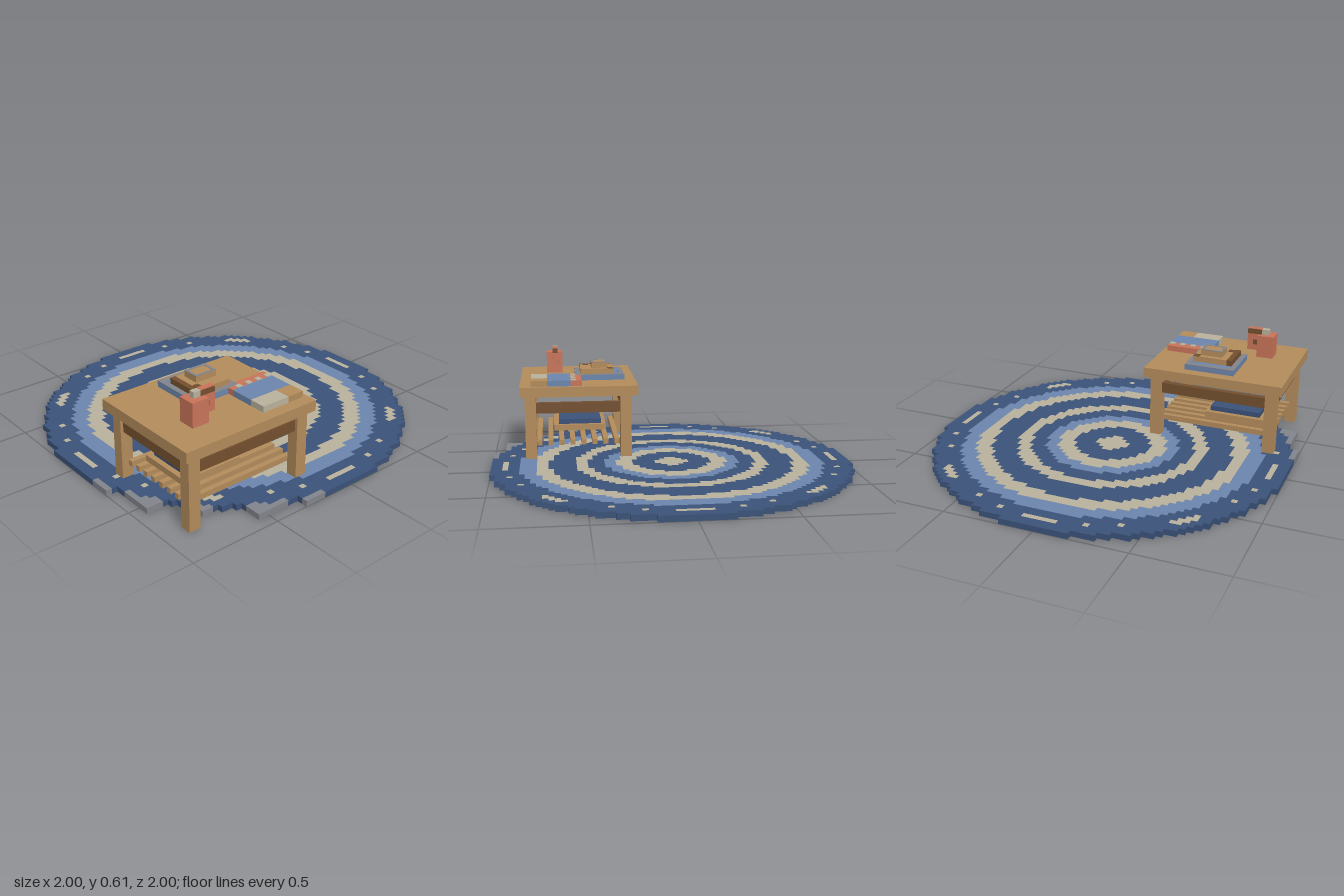
import * as THREE from 'three';
import { mergeGeometries } from 'three/addons/utils/BufferGeometryUtils.js';

const palette = {
  navy: 0x3b5279, lightBlue: 0x6c86ad, cream: 0xb9b29c, oak: 0xb48c5c,
  walnut: 0x74502f, coral: 0xc97459, grey: 0x83858c,
};

export function createModel() {
  const model = new THREE.Group();
  model.name = 'tableOnRoundRug';
  const mats = {};
  for (const [name, color] of Object.entries(palette)) {
    mats[name] = new THREE.MeshStandardMaterial({ color });
    mats[name].name = name;
  }

  // Box geometry from its minimum and maximum corners
  const boxGeo = (x0, x1, y0, y1, z0, z1) =>
    new THREE.BoxGeometry(x1 - x0, y1 - y0, z1 - z0)
      .translate((x0 + x1) / 2, (y0 + y1) / 2, (z0 + z1) / 2);
  const group = (name) => {
    const g = new THREE.Group();
    g.name = name;
    model.add(g);
    return g;
  };
  const box = (parent, name, mat, ...b) => {
    const m = new THREE.Mesh(boxGeo(...b), mats[mat]);
    m.name = name;
    parent.add(m);
    return m;
  };
  // Thin flat border around the upper edge of a slab
  const rim = (parent, name, mat, x0, x1, y, z0, z1, w) => {
    const t = y + 0.003;
    const g = mergeGeometries([
      boxGeo(x0, x1, y, t, z0, z0 + w), boxGeo(x0, x1, y, t, z1 - w, z1),
      boxGeo(x0, x0 + w, y, t, z0 + w, z1 - w), boxGeo(x1 - w, x1, y, t, z0 + w, z1 - w),
    ]);
    const m = new THREE.Mesh(g, mats[mat]);
    m.name = name;
    parent.add(m);
  };

  // Rug: a disc of square cells with coloured rings
  const U = 1 / 32, TOP = U;
  const rings = [
    [0.085, 'cream'], [0.215, 'navy'], [0.305, 'cream'], [0.375, 'lightBlue'],
    [0.46, 'navy'], [0.535, 'cream'], [0.68, 'navy'], [0.765, 'cream'],
    [0.85, 'lightBlue'], [1.0001, 'navy'],
  ];
  const dots = [[0.24, 0.89], [0.4, 0.83], [0.6, 0.7]];
  const cellColour = (x, z) => {
    const r = Math.hypot(x, z);
    const a = Math.max(Math.abs(x), Math.abs(z)), b = Math.min(Math.abs(x), Math.abs(z));
    if (r <= 1) {
      // Dashes on the axes and diagonals, dots between them
      if (b < 0.08 && Math.abs(a - 0.922) < 0.016) return 'cream';
      if (r > 0.91 && r < 0.955 && a - b < 0.12) return 'cream';
      if (dots.some(([p, q]) => Math.abs(b - p) < 0.016 && Math.abs(a - q) < 0.016)) return 'cream';
      return rings.find(([limit]) => r <= limit)[1];
    }
    // Stepped edge beneath the table
    if (x < 0 && z > 0) {
      const steps = [[1, 0.3125], [0.9375, 0.5625], [0.75, 0.75]];
      if (steps.some(([p, q]) => a < p && b < q)) return 'grey';
    }
    return null;
  };
  const rugParts = {};
  for (let j = -32; j < 32; j++) {
    let start = -32, colour = null;
    for (let i = -32; i <= 32; i++) {
      const c = i < 32 ? cellColour((i + 0.5) * U, (j + 0.5) * U) : null;
      if (c === colour) continue;
      if (colour) (rugParts[colour] ??= []).push(boxGeo(start * U, i * U, 0, TOP, j * U, (j + 1) * U));
      start = i;
      colour = c;
    }
  }
  const rug = group('rug');
  for (const [colour, list] of Object.entries(rugParts)) {
    const m = new THREE.Mesh(mergeGeometries(list), mats[colour]);
    m.name = colour + 'RugRings';
    rug.add(m);
  }

  // Table
  const table = group('table');
  box(table, 'tableTop', 'oak', -0.906, -0.117, 0.39, 0.447, 0.172, 0.84);
  for (const x of [-0.875, -0.21]) for (const z of [0.21, 0.75]) {
    const offRug = x < -0.5 && z > 0.5;
    box(table, 'leg', 'oak', x, x + 0.0645, offRug ? 0 : TOP, 0.39, z, z + 0.0625);
  }
  for (const z of [0.225, 0.765])
    box(table, 'longApron', 'walnut', -0.811, -0.21, 0.29, 0.35, z, z + 0.031);
  for (const x of [-0.859, -0.194])
    box(table, 'sideApron', 'walnut', x, x + 0.031, 0.29, 0.35, 0.272, 0.75);

  // Slatted shelf
  for (let i = 0; i < 8; i++) {
    const z = 0.278 + i * 0.0631;
    box(table, 'shelfSlat', 'oak', -0.84, -0.18, 0.1, 0.13, z, z + 0.029);
  }
  box(table, 'shelfTray', 'oak', -0.78, -0.435, 0.13, 0.164, 0.342, 0.65);
  box(table, 'shelfBook', 'navy', -0.75, -0.46, 0.164, 0.192, 0.37, 0.62);

  // Stack of slabs on the table
  const stack = group('stack');
  box(stack, 'lowerSlab', 'lightBlue', -0.62, -0.338, 0.447, 0.478, 0.235, 0.52);
  rim(stack, 'lowerSlabRim', 'grey', -0.62, -0.338, 0.477, 0.235, 0.52, 0.03);
  box(stack, 'middleSlab', 'oak', -0.56, -0.368, 0.478, 0.51, 0.3, 0.49);
  box(stack, 'middleSlabEnd', 'walnut', -0.59, -0.56, 0.478, 0.51, 0.3, 0.49);
  for (const [x, z] of [[-0.56, 0.44], [-0.4, 0.3]])
    box(stack, 'darkPatch', 'walnut', x, x + 0.032, 0.509, 0.513, z, z + 0.032);
  box(stack, 'upperSlab', 'oak', -0.525, -0.4, 0.51, 0.542, 0.33, 0.424);
  rim(stack, 'upperSlabRim', 'grey', -0.525, -0.4, 0.541, 0.33, 0.424, 0.014);

  // Banded book
  const book = group('openBook');
  box(book, 'redBand', 'coral', -0.4, -0.145, 0.447, 0.48, 0.49, 0.552);
  box(book, 'blueBand', 'lightBlue', -0.4, -0.145, 0.447, 0.48, 0.552, 0.685);
  box(book, 'creamBand', 'cream', -0.4, -0.24, 0.447, 0.48, 0.685, 0.776);
  box(book, 'tanBand', 'oak', -0.24, -0.145, 0.447, 0.48, 0.685, 0.776);
  for (let i = 0; i < 4; i++) {
    const x = -0.365 + i * 0.063;
    box(book, 'creamTab', 'cream', x, x + 0.03, 0.479, 0.483, 0.522, 0.552);
  }

  // Mug with handle and the spoon lying across it
  const mug = group('mug');
  box(mug, 'mugBody', 'coral', -0.75, -0.655, 0.447, 0.575, 0.59, 0.685);
  box(mug, 'mugHandle', 'coral', -0.655, -0.592, 0.478, 0.575, 0.618, 0.65);
  for (const z of [0.616, 0.649])
    box(mug, 'handleHole', 'walnut', -0.655, -0.625, 0.512, 0.54, z, z + 0.003);
  box(mug, 'spoonTip', 'cream', -0.715, -0.675, 0.575, 0.606, 0.618, 0.65);
  box(mug, 'spoonHandle', 'walnut', -0.675, -0.592, 0.575, 0.604, 0.618, 0.65);
  box(mug, 'spoonTopFace', 'coral', -0.675, -0.592, 0.604, 0.607, 0.618, 0.65);

  return model;
}
